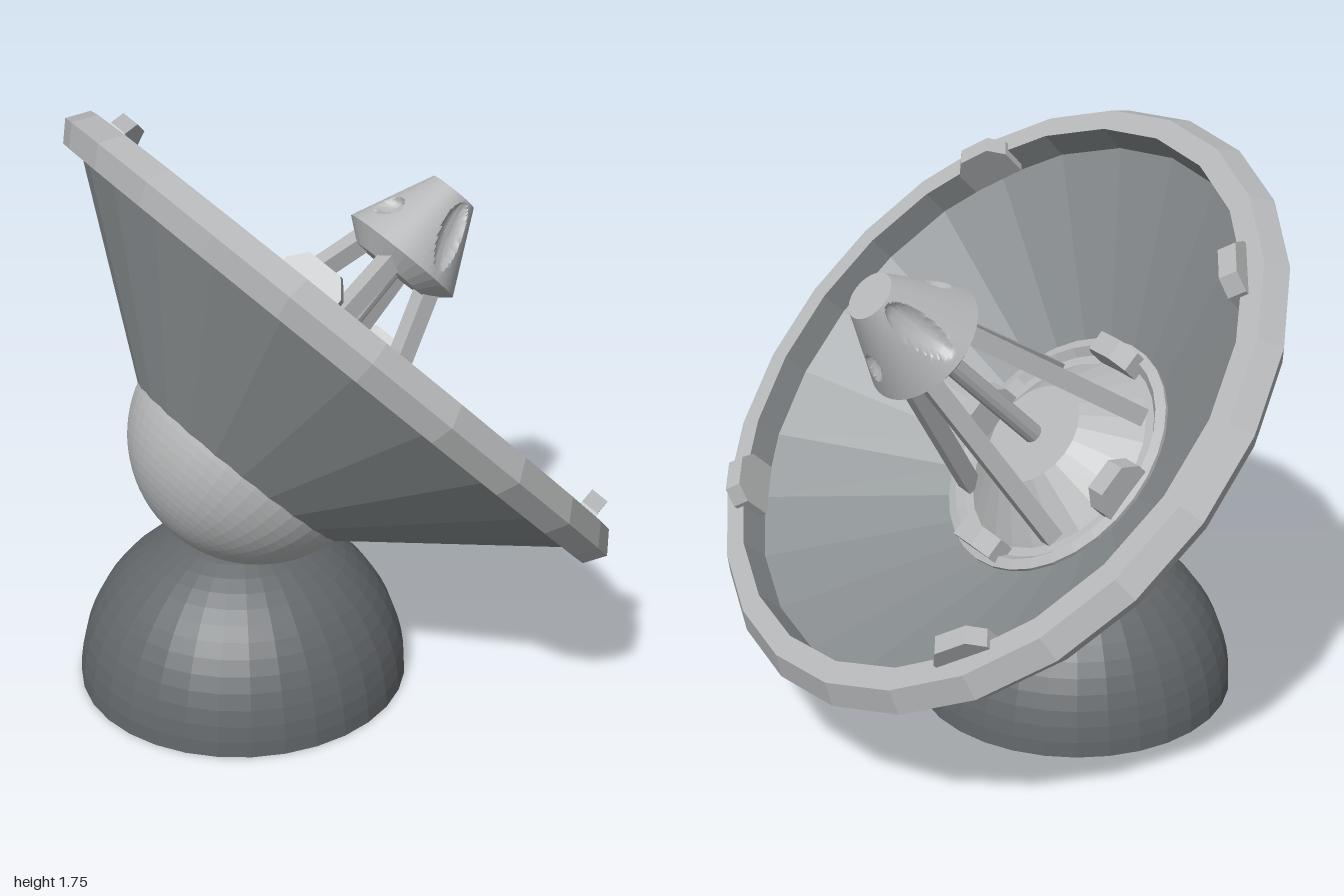
import * as THREE from 'three';
import { toCreasedNormals } from 'three/addons/utils/BufferGeometryUtils.js';

const paint = (color, flatShading = true) => new THREE.MeshStandardMaterial({ color, flatShading });
const light = paint(0xb4b6b7);
const lightSmooth = paint(0xb4b6b7, false);
const bowlGrey = paint(0x888d8f);
const baseGrey = paint(0x63676a);

function add(parent, name, geometry, material = light) {
  const mesh = new THREE.Mesh(geometry, material);
  mesh.name = name;
  parent.add(mesh);
  return mesh;
}

const lathe = (points, sides) =>
  new THREE.LatheGeometry(points.map(([r, y]) => new THREE.Vector2(r, y)), sides);

// Upright plate facing the dish axis, with its two top corners cut off
function clampGeometry(rIn, rOut, wBase, wTop, y0, yShoulder, y1) {
  const shape = new THREE.Shape([
    new THREE.Vector2(-wBase, y0), new THREE.Vector2(wBase, y0),
    new THREE.Vector2(wBase, yShoulder), new THREE.Vector2(wTop, y1),
    new THREE.Vector2(-wTop, y1), new THREE.Vector2(-wBase, yShoulder),
  ]);
  const g = new THREE.ExtrudeGeometry(shape, { depth: rOut - rIn, bevelEnabled: false });
  g.translate(0, 0, rIn);
  return g;
}

// Conical head with crisp hollows: long ones on the sides, small ones between
function headGeometry() {
  const y0 = 1.053, y1 = 1.292;
  const g = new THREE.CylinderGeometry(0.075, 0.19, y1 - y0, 128, 32, true);
  g.translate(0, (y0 + y1) / 2, 0);
  const p = g.attributes.position;
  for (let i = 0; i < p.count; i++) {
    const x = p.getX(i), y = p.getY(i), z = p.getZ(i);
    const side = Math.abs(z) > Math.abs(x);
    const q = side
      ? (x / 0.043) ** 2 + ((y - 1.18) / 0.1) ** 2
      : (z / 0.037) ** 2 + ((y - 1.14) / 0.037) ** 2;
    if (q >= 1) continue;
    const k = 1 - 0.03 * Math.sqrt(1 - q) / Math.hypot(x, z);
    p.setXYZ(i, x * k, y, z * k);
  }
  return toCreasedNormals(g, 0.5);
}

export function createModel() {
  const model = new THREE.Group();
  model.name = 'dishAntenna';

  // Base dome with its flat underside
  const base = new THREE.Group();
  base.name = 'base';
  base.position.x = -0.273;
  model.add(base);
  add(base, 'baseDome',
    new THREE.SphereGeometry(0.492, 32, 16, 0, Math.PI * 2, 0, Math.PI / 2), baseGrey);
  add(base, 'baseUnderside', new THREE.CircleGeometry(0.492, 32).rotateX(Math.PI / 2), baseGrey);

  // Everything above tilts 45 degrees; local y is the dish axis
  const dish = new THREE.Group();
  dish.name = 'dishAssembly';
  dish.position.set(-0.487, 0.495, 0);
  dish.rotation.z = -Math.PI / 4;
  model.add(dish);

  // Pivot ball, sunk into the back of the bowl
  add(dish, 'pivotBall',
    new THREE.SphereGeometry(0.381, 48, 20, 0, Math.PI * 2, Math.PI / 2, Math.PI / 2))
    .position.y = 0.39;

  // Conical bowl, outside and inside, with a thick rim
  add(dish, 'bowlOutside', lathe([[0.3, 0.236], [0.888, 0.69]], 24), bowlGrey);
  add(dish, 'rim', lathe([
    [0.888, 0.69], [0.96, 0.69], [1, 0.75], [0.957, 0.812], [0.89, 0.812],
  ], 24));
  add(dish, 'bowlInside', lathe([[0.89, 0.812], [0.885, 0.72], [0.38, 0.395], [0, 0.395]], 24), bowlGrey);

  // Collar and pedestal in the middle of the bowl
  add(dish, 'collar', lathe([
    [0.396, 0.39], [0.396, 0.417], [0.365, 0.425], [0.345, 0.4], [0.31, 0.4],
  ], 32));
  add(dish, 'pedestal', lathe([[0.335, 0.385], [0.305, 0.41], [0.165, 0.525], [0, 0.525]], 24));

  // Clamps on the rim and on the collar
  for (let i = 0; i < 4; i++) {
    const a = i * Math.PI / 2;
    add(dish, 'rimClamp', clampGeometry(0.85, 0.905, 0.088, 0.05, 0.74, 0.825, 0.87))
      .rotation.y = a + Math.PI / 4;
    add(dish, 'collarClamp', clampGeometry(0.31, 0.375, 0.085, 0.048, 0.38, 0.455, 0.505))
      .rotation.y = a;
  }

  // Central feed rod
  add(dish, 'feedRod', new THREE.CylinderGeometry(0.03, 0.03, 0.52, 12)).position.y = 0.76;

  // Four leaning struts
  const up = new THREE.Vector3(0, 1, 0);
  for (const sx of [-1, 1]) {
    for (const sz of [-1, 1]) {
      const foot = new THREE.Vector3(0.22 * sx, 0.42, 0.22 * sz);
      const head = new THREE.Vector3(0.085 * sx, 1.02, 0.085 * sz);
      const span = head.clone().sub(foot);
      const strut = add(dish, 'strut', new THREE.BoxGeometry(0.054, span.length(), 0.054));
      strut.position.copy(foot).add(head).multiplyScalar(0.5);
      strut.quaternion.setFromUnitVectors(up, span.normalize());
    }
  }

  // Receiver head: underside, hollowed cone and flat tip
  const receiver = new THREE.Group();
  receiver.name = 'receiver';
  dish.add(receiver);
  add(receiver, 'receiverCone', headGeometry(), lightSmooth);
  add(receiver, 'receiverUnderside', lathe([[0, 1], [0.125, 1], [0.19, 1.053]], 32));
  add(receiver, 'receiverTip', new THREE.CircleGeometry(0.075, 32).rotateX(-Math.PI / 2))
    .position.y = 1.292;

  return model;
}
